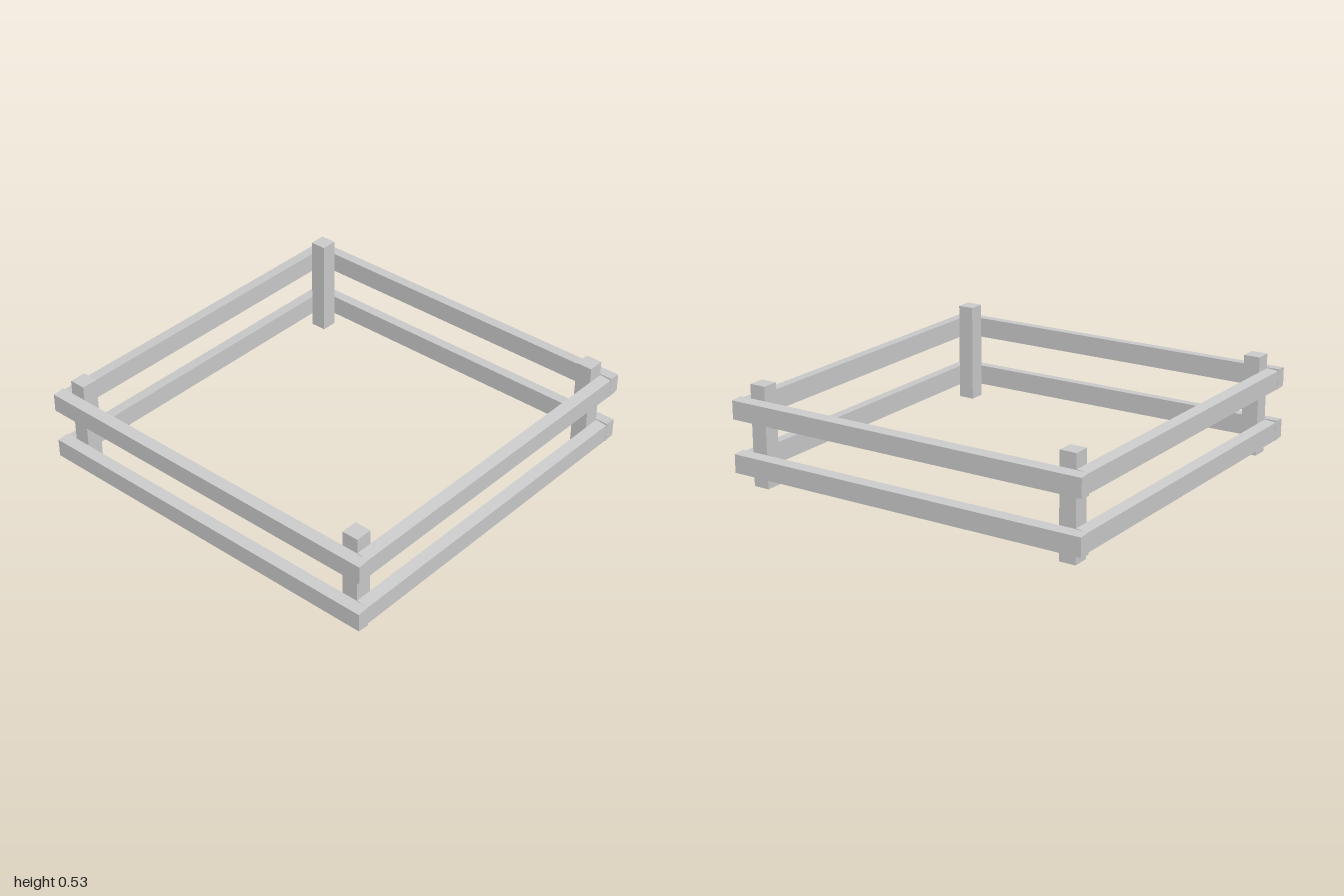
import * as THREE from 'three';

const material = new THREE.MeshStandardMaterial({ color: 0xcccccc, flatShading: true });

// Rough-sawn rail along x: outer face (+z) is a little shorter than the inner one
function railGeometry(length) {
  const geometry = new THREE.BoxGeometry(length, 0.108, 0.063);
  const p = geometry.attributes.position;
  for (let i = 0; i < p.count; i++) {
    if (p.getZ(i) > 0) p.setY(i, p.getY(i) * 0.9);
    // slight hand-cut skew between the two ends
    p.setY(i, p.getY(i) - Math.sign(p.getX(i)) * 0.002);
  }
  geometry.computeVertexNormals();
  return geometry;
}

export function createModel() {
  const model = new THREE.Group();
  model.name = 'railFence';

  // Corner posts
  const postGeometry = new THREE.BoxGeometry(0.088, 0.53, 0.088);
  for (const x of [-1, 1]) {
    for (const z of [-1, 1]) {
      const post = new THREE.Mesh(postGeometry, material);
      post.name = 'cornerPost';
      post.position.set(x * 0.89, 0.265, z * 0.888);
      model.add(post);
    }
  }

  // Two rails on each side; front and back overlap the ends of the side rails
  const longRail = railGeometry(2);
  const sideRail = railGeometry(1.87);
  const names = ['front', 'left', 'back', 'right'];
  names.forEach((name, i) => {
    const side = new THREE.Group();
    side.name = name + 'Side';
    side.rotation.y = i * Math.PI / 2;
    for (const [level, y] of [['lower', 0.122], ['upper', 0.4]]) {
      const rail = new THREE.Mesh(i % 2 ? sideRail : longRail, material);
      rail.name = level + 'Rail';
      rail.position.set(0, y, i % 2 ? 0.967 : 0.964);
      side.add(rail);
    }
    model.add(side);
  });

  return model;
}
